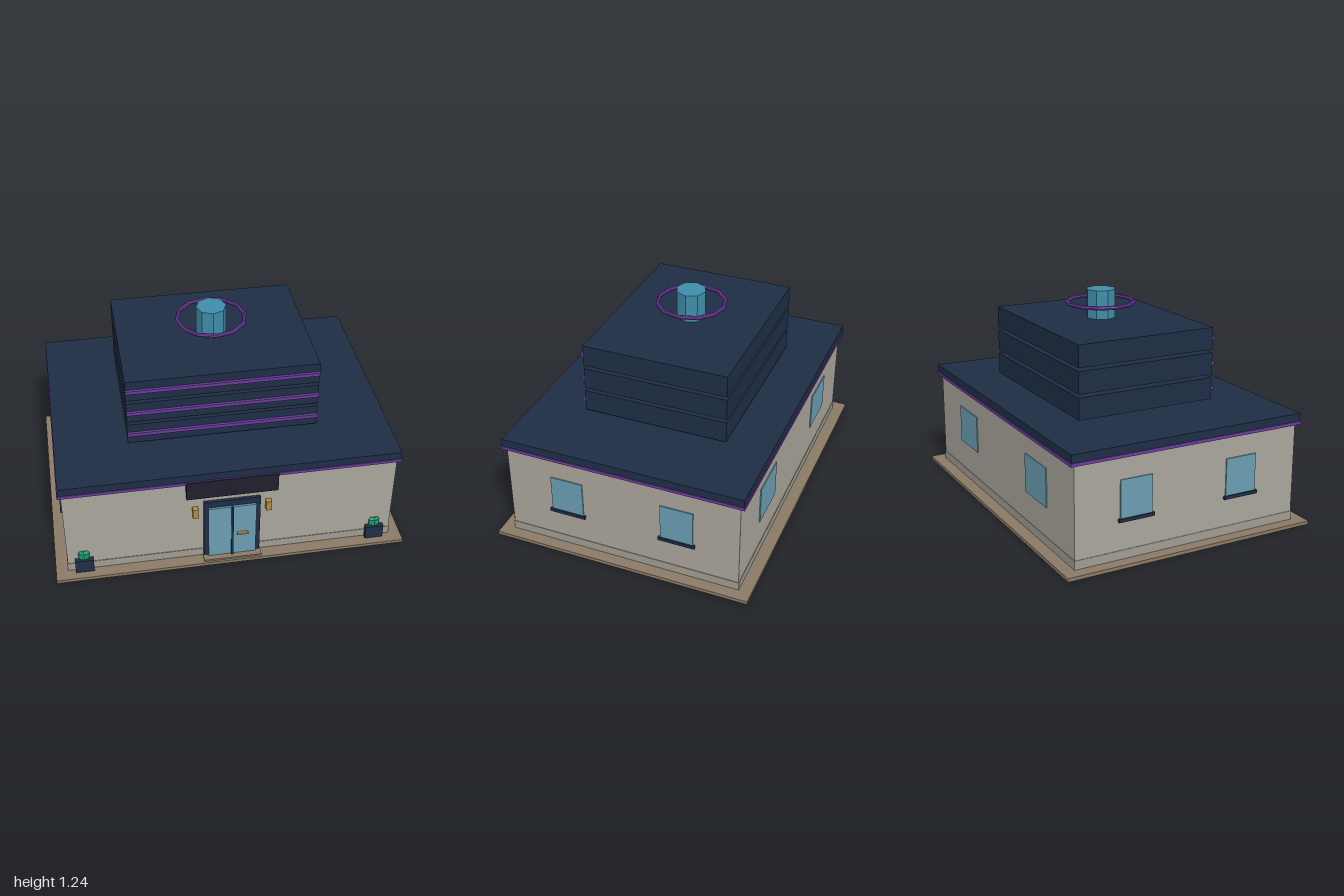
import * as THREE from 'three';

const mats = {};
function mat(color) {
  return (mats[color] ??= new THREE.MeshStandardMaterial({ color, flatShading: true }));
}

const NAVY = 0x1e2d45, PURPLE = 0x6b3a9c, WALL = 0xa9a59b, PLINTH = 0xa09c92, PAVING = 0x8a7a66;
const GLASS = 0x6a9db2, TEAL = 0x3f8ca8, GOLD = 0xb08c45, GREEN = 0x149c74, SIGN = 0x20202f;

export function createModel() {
  const model = new THREE.Group();
  model.name = 'building';

  const add = (name, geometry, color, x = 0, y = 0, z = 0) => {
    const mesh = new THREE.Mesh(geometry, mat(color));
    mesh.name = name;
    mesh.position.set(x, y, z);
    model.add(mesh);
    return mesh;
  };
  // Box given by its extents along each axis
  const box = (name, color, [x0, x1], [y0, y1], [z0, z1]) =>
    add(name, new THREE.BoxGeometry(x1 - x0, y1 - y0, z1 - z0), color,
      (x0 + x1) / 2, (y0 + y1) / 2, (z0 + z1) / 2);
  const around = (c, size) => [c - size / 2, c + size / 2];

  // Main block
  box('paving', PAVING, [-1, 1], [0, 0.02], [-0.75, 0.75]);
  box('walls', WALL, [-0.93, 0.93], [0.02, 0.59], [-0.676, 0.676]);
  box('plinth', PLINTH, [-0.933, 0.933], [0.02, 0.07], [-0.679, 0.679]);
  box('roofTrim', PURPLE, [-0.95, 0.95], [0.582, 0.6], [-0.702, 0.702]);
  box('roof', NAVY, [-0.945, 0.945], [0.6, 0.645], [-0.697, 0.697]);

  // Three separate upper tiers with a light strip on the front
  for (let i = 0; i < 3; i++) {
    const y = 0.661 + i * 0.144;
    box('tier', NAVY, [-0.535, 0.535], [y, y + 0.125], [-0.447, 0.388]);
    box('tierStrip', PURPLE, [-0.535, 0.535], around(y + 0.064, 0.02), [0.388, 0.404]);
  }

  // Rooftop beacon and ring
  add('beacon', new THREE.CylinderGeometry(0.086, 0.086, 0.165, 8), TEAL, 0, 1.157, -0.03);
  const ring = add('beaconRing', new THREE.TorusGeometry(0.193, 0.012, 8, 12), PURPLE, 0, 1.163, -0.033);
  ring.rotation.x = Math.PI / 2;

  // Side windows with sills, plain rear windows
  for (const s of [-1, 1]) {
    for (const z of [-0.322, 0.322]) {
      add('sideWindow', new THREE.BoxGeometry(0.02, 0.215, 0.188), GLASS, s * 0.927, 0.352, z);
      add('windowSill', new THREE.BoxGeometry(0.03, 0.019, 0.21), NAVY, s * 0.93, 0.239, z);
    }
    box('rearWindow', GLASS, around(s * 0.48, 0.265), [0.24, 0.462], [-0.682, -0.662]);
  }

  // Entrance
  box('doorStep', PAVING, [-0.165, 0.165], [0.02, 0.031], [0.67, 0.738]);
  box('doorFrame', NAVY, [-0.16, 0.16], [0.03, 0.43], [0.66, 0.694]);
  for (const s of [-1, 1]) {
    box('doorGlass', GLASS, around(s * 0.07, 0.13), [0.032, 0.39], [0.68, 0.706]);
  }
  box('doorMullion', NAVY, [-0.006, 0.006], [0.032, 0.39], [0.68, 0.715]);
  box('doorHandle', GOLD, [0.026, 0.088], [0.184, 0.196], [0.7, 0.722]);
  box('signBoard', SIGN, [-0.256, 0.254], [0.48, 0.597], [0.67, 0.708]);

  // Wall lamps, planters and shrubs
  const shrub = new THREE.LatheGeometry([[0, 0], [0.04, 0], [0.04, 0.042], [0.03, 0.056], [0, 0.056]]
    .map(([r, y]) => new THREE.Vector2(r, y)), 8);
  for (const s of [-1, 1]) {
    box('wallLamp', GOLD, around(s * 0.206, 0.032), [0.333, 0.396], [0.67, 0.705]);
    box('planter', NAVY, around(s * 0.837, 0.104), [0.02, 0.104], [0.605, 0.705]);
    add('shrub', shrub, GREEN, s * 0.837, 0.1, 0.655);
  }

  return model;
}
